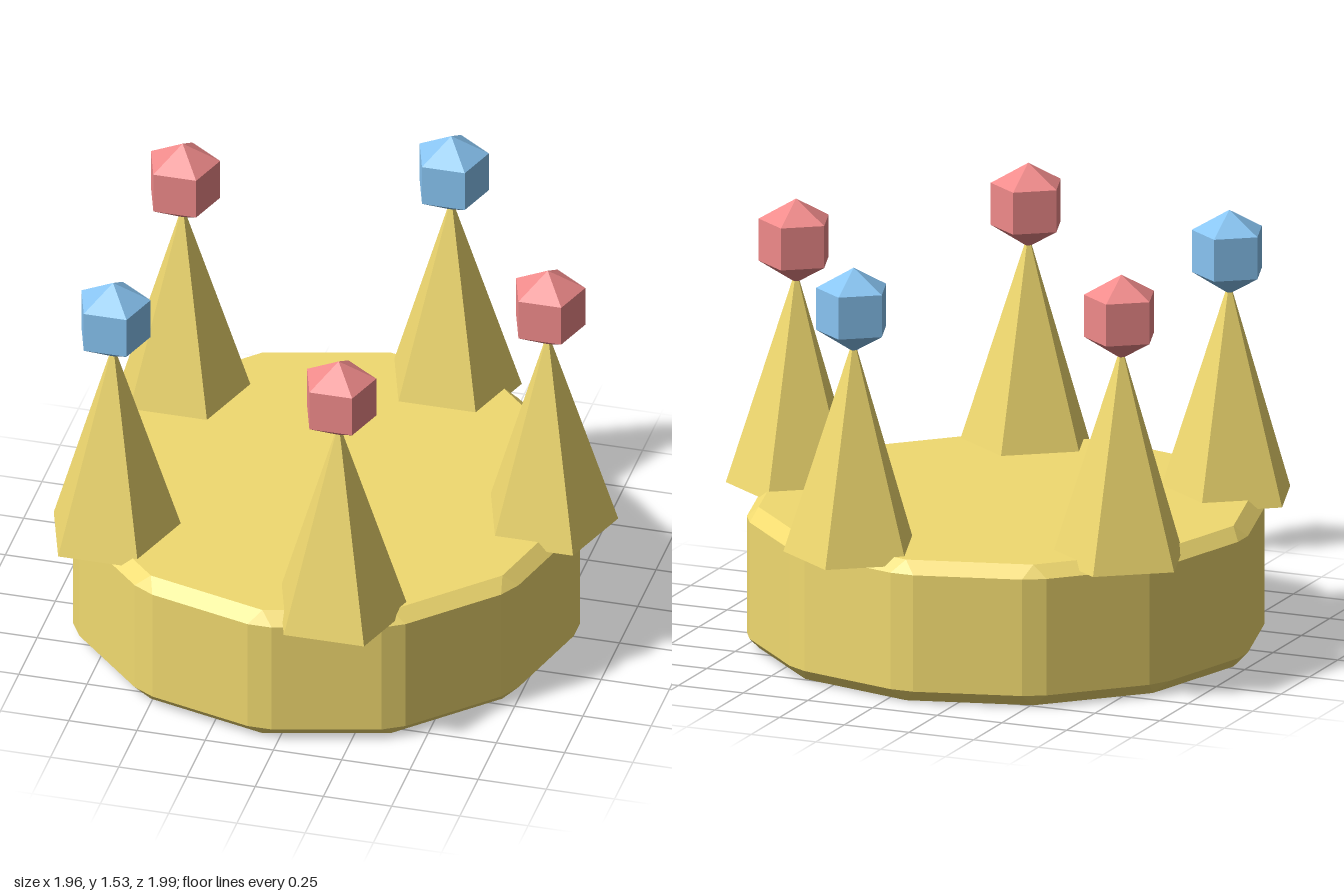
import * as THREE from 'three';

const paint = (color) => new THREE.MeshStandardMaterial({ color, flatShading: true });
const gold = paint(0xf1da70);
const red = paint(0xf08a8a);
const blue = paint(0x88c4f2);

const SIDES = 12;
const CENTER = { x: -0.067, z: 0.022 };

// One level of the band: two points per corner, `half` apart from the corner's axis
function ring(y, radius, half) {
  const points = [];
  for (let i = 0; i < SIDES; i++) {
    const a = (i / SIDES) * Math.PI * 2;
    const c = Math.cos(a), s = Math.sin(a);
    for (const t of [-half, half]) {
      points.push(new THREE.Vector3(radius * c - t * s, y, radius * s + t * c));
    }
  }
  return points;
}

// Twelve-sided band with every edge chamfered
function bandGeometry() {
  const rings = [
    ring(0, 0, 0),
    ring(0, 0.88, 0),
    ring(0.045, 0.917, 0.044),
    ring(0.472, 0.917, 0.044),
    ring(0.516, 0.88, 0),
    ring(0.516, 0, 0),
  ];
  const positions = [];
  const triangle = (a, b, c) => {
    // corners merge to one point on the inner rings, so skip empty triangles
    if (a.distanceTo(b) < 1e-6 || b.distanceTo(c) < 1e-6 || c.distanceTo(a) < 1e-6) return;
    for (const p of [a, b, c]) positions.push(p.x, p.y, p.z);
  };
  for (let r = 0; r < rings.length - 1; r++) {
    const low = rings[r], up = rings[r + 1];
    for (let i = 0; i < low.length; i++) {
      const j = (i + 1) % low.length;
      triangle(low[i], up[i], low[j]);
      triangle(up[i], up[j], low[j]);
    }
  }
  const geometry = new THREE.BufferGeometry();
  geometry.setAttribute('position', new THREE.Float32BufferAttribute(positions, 3));
  geometry.computeVertexNormals();
  return geometry;
}

export function createModel() {
  const crown = new THREE.Group();
  crown.name = 'crown';

  const band = new THREE.Mesh(bandGeometry(), gold);
  band.name = 'band';
  band.position.set(CENTER.x, 0, CENTER.z);
  crown.add(band);

  // Five-sided spikes and gems, all with a corner toward the back
  const spikeGeometry = new THREE.ConeGeometry(0.25, 0.79, 5).rotateY(Math.PI);
  const gemGeometry = new THREE.SphereGeometry(0.154, 5, 3).rotateY(-Math.PI / 2);
  const gemPaint = [red, red, blue, red, blue];

  gemPaint.forEach((material, i) => {
    const a = (i / 5) * Math.PI * 2;
    const point = new THREE.Group();
    point.name = `point${i + 1}`;
    point.position.set(CENTER.x + 0.81 * Math.cos(a), 0, CENTER.z + 0.81 * Math.sin(a));

    const spike = new THREE.Mesh(spikeGeometry, gold);
    spike.name = 'spike';
    spike.position.y = 0.485 + 0.79 / 2;

    const gem = new THREE.Mesh(gemGeometry, material);
    gem.name = 'gem';
    gem.position.y = 1.378;

    point.add(spike, gem);
    crown.add(point);
  });

  return crown;
}
